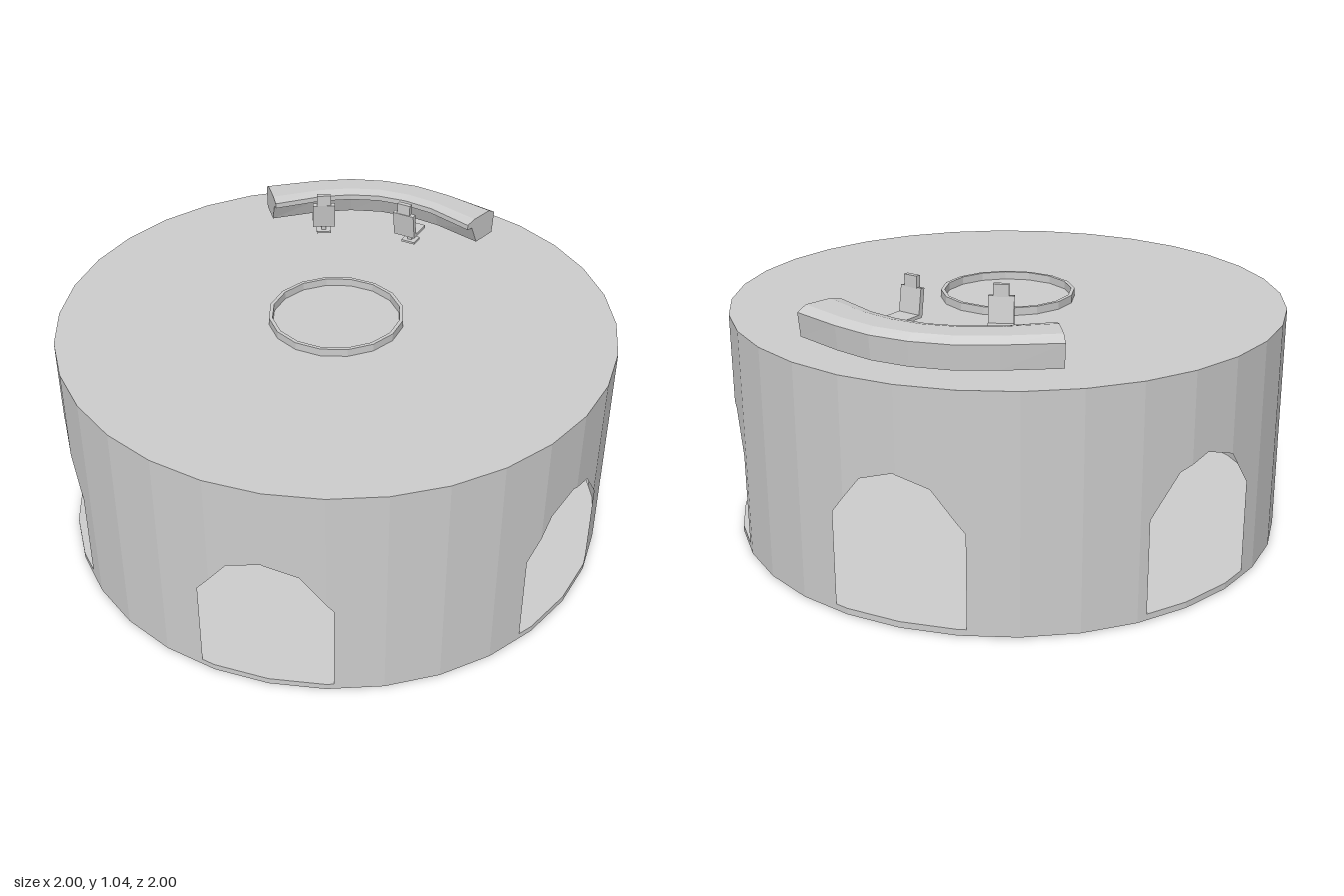
import * as THREE from 'three';

const DEG = Math.PI / 180;
const SIDES = 32, TOP = 0.834, FLOOR = 0.025;
const grey = new THREE.MeshStandardMaterial({ color: 0xcccccc, flatShading: true, side: THREE.DoubleSide });
grey.name = 'plain grey';

function add(parent, name, geometry, x = 0, y = 0, z = 0) {
  const mesh = new THREE.Mesh(geometry, grey);
  mesh.name = name;
  mesh.position.set(x, y, z);
  parent.add(mesh);
  return mesh;
}

function fromTriangles(positions) {
  const g = new THREE.BufferGeometry();
  g.setAttribute('position', new THREE.Float32BufferAttribute(positions, 3));
  g.computeVertexNormals();
  return g;
}

function quad(out, a, b, c, d) {
  out.push(...a, ...b, ...c, ...a, ...c, ...d);
}

// Faceted drum wall pierced by pointed arches; angles run from +z towards +x
function wallGeometry() {
  const centers = [-0.6, 66.3, 119, 179.4, 240.5, 296.3];
  const arch = [[-13.4, 0.36], [-7, 0.5], [0, 0.54], [7, 0.5], [13.4, 0.36]];
  const step = 360 / SIDES, start = -step * 2;
  const cuts = [];
  for (let i = 0; i <= SIDES; i++) cuts.push(start + i * step);
  for (const c of centers) for (const [a] of arch) cuts.push(c + a);
  cuts.sort((a, b) => a - b);

  // bottom of the wall at angle a, within the interval around mid
  const lower = (a, mid) => {
    for (const c of centers) {
      for (let i = 0; i < arch.length - 1; i++) {
        const [a0, y0] = arch[i], [a1, y1] = arch[i + 1];
        if (mid > c + a0 && mid < c + a1) return y0 + (y1 - y0) * (a - c - a0) / (a1 - a0);
      }
    }
    return FLOOR;
  };
  const point = (a, y) => {
    const off = (((a % step) + step) % step) - step / 2;
    const r = Math.cos(step / 2 * DEG) / Math.cos(off * DEG);
    return [r * Math.sin(a * DEG), y, r * Math.cos(a * DEG)];
  };
  const out = [];
  for (let i = 0; i < cuts.length - 1; i++) {
    const a = cuts[i], b = cuts[i + 1], mid = (a + b) / 2;
    if (b - a < 1e-4) continue;
    quad(out, point(a, lower(a, mid)), point(b, lower(b, mid)), point(b, TOP), point(a, TOP));
  }
  return fromTriangles(out);
}

// Rectangular ring section turned round the y axis
function ringGeometry(inner, outer, y0, y1, segments, start = 0, length = Math.PI * 2) {
  const pts = [[outer, y0], [outer, y1], [inner, y1], [inner, y0], [outer, y0]];
  return new THREE.LatheGeometry(pts.map(p => new THREE.Vector2(...p)), segments, start, length);
}

// Curved desk lofted through mirrored stations: [inner x, inner z, outer x, outer z]
function deskGeometry() {
  const half = [[0, -0.735, 0, -0.885], [0.11, -0.72, 0.14, -0.87], [0.22, -0.68, 0.28, -0.82], [0.38, -0.58, 0.46, -0.735]];
  const mirrored = half.slice(1).reverse().map(([a, b, c, d]) => [-a, b, -c, d]);
  // section: [fraction from front to back, height]
  const section = [[0.36, 0.85], [0.16, 0.925], [0, 0.928], [0, 0.948], [0.25, 0.957], [0.8, 0.955], [1, 0.935], [0.95, 0.85]];
  const rows = [...mirrored, ...half].map(([ix, iz, ox, oz]) =>
    section.map(([t, y]) => [ix + (ox - ix) * t, y, iz + (oz - iz) * t]));
  const out = [], n = section.length;
  for (let s = 0; s < rows.length - 1; s++) {
    for (let k = 0; k < n; k++) {
      const m = (k + 1) % n;
      quad(out, rows[s][k], rows[s + 1][k], rows[s + 1][m], rows[s][m]);
    }
  }
  // end caps
  const first = rows[0], last = rows[rows.length - 1];
  for (let k = 2; k < n - 1; k++) {
    out.push(...first[1], ...first[k], ...first[k + 1]);
    out.push(...last[1], ...last[k + 1], ...last[k]);
  }
  out.push(...first[0], ...first[1], ...first[n - 1], ...last[0], ...last[n - 1], ...last[1]);
  return fromTriangles(out);
}

// Swivel chair facing -z
function makeChair(name, x, z, turn) {
  const chair = new THREE.Group();
  chair.name = name;
  add(chair, 'chairBase', new THREE.BoxGeometry(0.055, 0.008, 0.05), 0, 0.856, -0.015);
  add(chair, 'chairStem', new THREE.BoxGeometry(0.018, 0.045, 0.018), 0, 0.88, -0.015);
  add(chair, 'chairSeat', new THREE.BoxGeometry(0.085, 0.012, 0.095), 0, 0.905, -0.005);
  add(chair, 'chairBack', new THREE.BoxGeometry(0.085, 0.095, 0.018), 0, 0.952, 0.043).rotation.x = 0.15;
  add(chair, 'headrest', new THREE.BoxGeometry(0.052, 0.042, 0.018), 0, 1.018, 0.048);
  chair.position.set(x, 0, z);
  chair.rotation.y = turn;
  return chair;
}

export function createModel() {
  const model = new THREE.Group();
  model.name = 'roundPavilion';

  // Drum: floor slab, arched wall and roof
  add(model, 'floor', new THREE.CylinderGeometry(1, 1, FLOOR - 0.003, SIDES), 0, (FLOOR + 0.003) / 2, 0);
  add(model, 'archedWall', wallGeometry());
  add(model, 'roof', new THREE.CircleGeometry(1, SIDES), 0, TOP, 0).rotation.x = -Math.PI / 2;

  // Central shaft standing on four narrow posts between its doorways
  const shaft = new THREE.Group();
  shaft.name = 'centralShaft';
  model.add(shaft);
  add(shaft, 'shaftWall', ringGeometry(0.23, 0.243, 0.43, 0.862, 16));
  add(shaft, 'shaftFoot', ringGeometry(0.23, 0.243, 0, FLOOR, 16));
  for (let i = 0; i < 4; i++) {
    add(shaft, 'shaftPost', ringGeometry(0.23, 0.243, FLOOR, 0.43, 1, (41 + i * 90) * DEG, 8 * DEG));
  }

  // Rooftop desk and two chairs
  add(model, 'curvedDesk', deskGeometry());
  model.add(makeChair('leftChair', 0.155, -0.572, -0.27));
  model.add(makeChair('rightChair', -0.185, -0.572, 0.27));
  return model;
}
